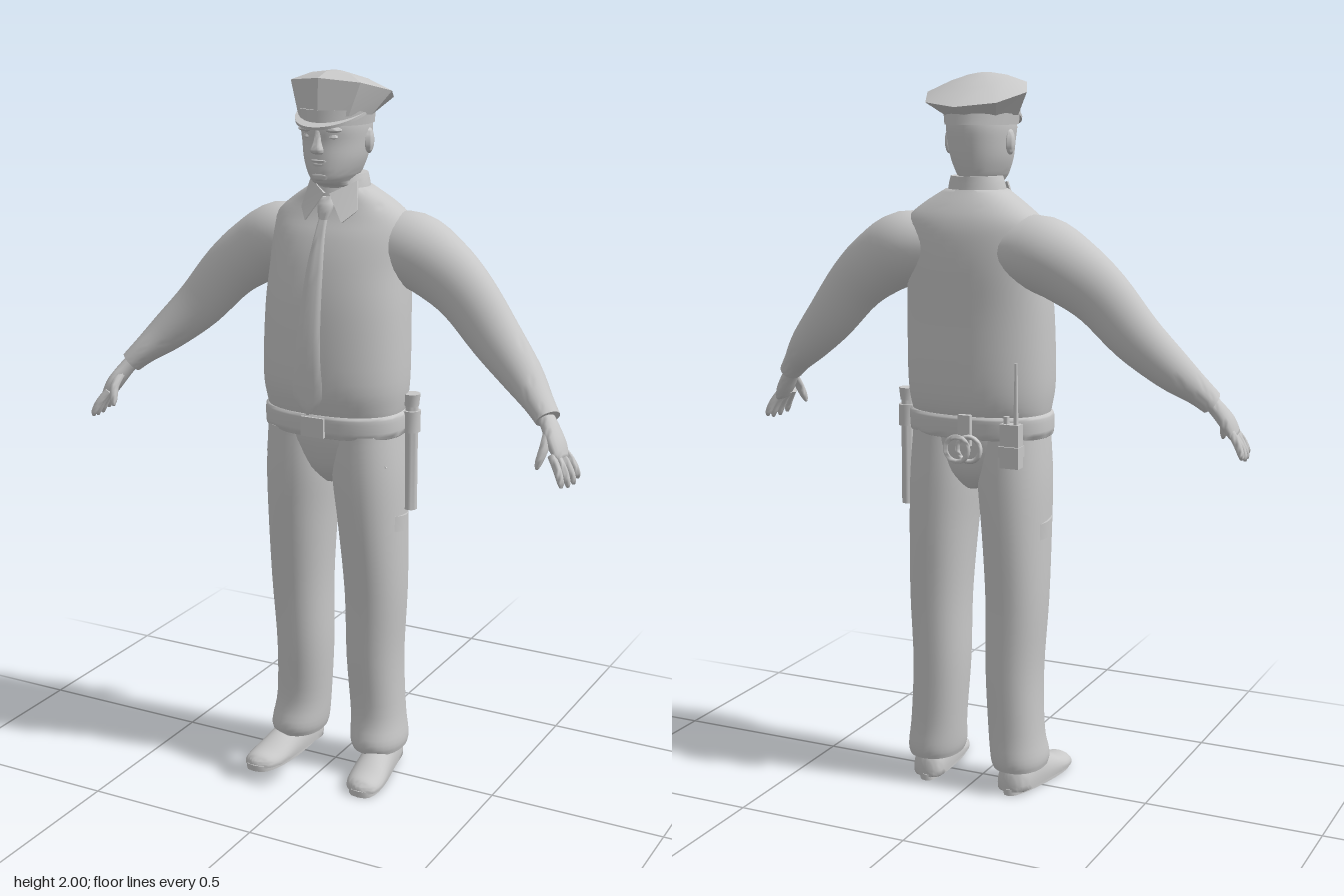
import * as THREE from 'three';
import { toCreasedNormals } from 'three/addons/utils/BufferGeometryUtils.js';

const V = (x, y, z) => new THREE.Vector3(x, y, z);
const UP = V(0, 1, 0), FRONT = V(0, 0, 1);
const grey = new THREE.MeshStandardMaterial({ color: 0xc8c8c8 });
grey.name = 'light grey';

// Catmull-Rom resampling of section rows
function smooth(rows, steps) {
  const out = [], at = i => rows[Math.min(Math.max(i, 0), rows.length - 1)];
  for (let i = 0; i < rows.length - 1; i++) {
    for (let k = 0; k < steps; k++) {
      const t = k / steps;
      out.push(rows[i].map((b, c) => {
        const a = at(i - 1)[c], d = at(i + 1)[c], e = at(i + 2)[c];
        return b + 0.5 * t * (d - a + t * (2 * a - 5 * b + 4 * d - e + t * (3 * (b - d) + e - a)));
      }));
    }
  }
  out.push(rows[rows.length - 1]);
  return out;
}

// Loft of rounded sections [x, y, z, radius across, radius along ref]
function loft(rows, { axis = null, ref = FRONT, n = 28, steps = 4, power = 1 } = {}) {
  const secs = smooth(rows, steps), pos = [], idx = [], last = secs.length - 1;
  const centre = i => V(...secs[Math.min(Math.max(i, 0), last)].slice(0, 3));
  const bend = v => Math.sign(v) * Math.abs(v) ** power;
  secs.forEach((s, i) => {
    const T = axis || centre(i + 1).sub(centre(i - 1)).normalize();
    const U = T.clone().cross(ref).normalize(), W = U.clone().cross(T);
    for (let j = 0; j < n; j++) {
      const a = j / n * Math.PI * 2;
      const p = centre(i).addScaledVector(U, s[3] * bend(Math.cos(a))).addScaledVector(W, s[4] * bend(Math.sin(a)));
      pos.push(p.x, p.y, p.z);
      if (i < last) {
        const b = i * n, k = (j + 1) % n;
        idx.push(b + j, b + n + j, b + k, b + k, b + n + j, b + n + k);
      }
    }
  });
  const c0 = pos.length / 3;
  pos.push(...centre(0).toArray(), ...centre(last).toArray());
  for (let j = 0; j < n; j++) {
    const k = (j + 1) % n;
    idx.push(c0, j, k, c0 + 1, last * n + k, last * n + j);
  }
  const g = new THREE.BufferGeometry();
  g.setAttribute('position', new THREE.Float32BufferAttribute(pos, 3));
  g.setIndex(idx);
  return g;
}

// Apply a rule to every vertex
function warp(g, rule) {
  const p = g.attributes.position;
  for (let i = 0; i < p.count; i++) p.setXYZ(i, ...rule(p.getX(i), p.getY(i), p.getZ(i)));
  return g;
}

export function createModel() {
  const model = new THREE.Group();
  model.name = 'officer';
  const add = (name, g, crease = 0.9) => {
    const m = new THREE.Mesh(toCreasedNormals(g, crease), grey);
    m.name = name;
    model.add(m);
    return m;
  };
  const ball = (name, x, y, z, rx, ry, rz) =>
    add(name, new THREE.SphereGeometry(1, 16, 12).scale(rx, ry, rz).translate(x, y, z), 3);
  const box = (name, w, h, d, x, y, z) => add(name, new THREE.BoxGeometry(w, h, d).translate(x, y, z));
  const rod = (name, r1, r2, h, x, y, z) => add(name, new THREE.CylinderGeometry(r1, r2, h, 14).translate(x, y, z));
  const upright = { axis: UP };

  // Shirt
  add('shirt', loft([
    [0, 1.06, -0.005, 0.19, 0.122], [0, 1.1, -0.008, 0.2, 0.142], [0, 1.18, -0.007, 0.208, 0.155],
    [0, 1.36, -0.015, 0.206, 0.15], [0, 1.48, -0.03, 0.2, 0.141], [0, 1.56, -0.042, 0.202, 0.125],
    [0, 1.61, -0.05, 0.192, 0.106], [0, 1.65, -0.048, 0.148, 0.088], [0, 1.69, -0.037, 0.085, 0.072]],
  { axis: UP, n: 40, power: 0.87 }));
  // Collar band with two pointed flaps
  add('collarBand', loft([
    [0, 1.66, -0.033, 0.085, 0.08], [0, 1.7, -0.036, 0.078, 0.072], [0, 1.725, -0.038, 0.071, 0.068]], upright));
  for (const s of [1, -1]) {
    const flap = new THREE.Shape([[0.008, 0.012], [0.07, 0.045], [0.085, -0.03], [0.055, -0.06]]
      .map(([x, y]) => new THREE.Vector2(x * s, y)));
    add('collarFlap', warp(new THREE.ExtrudeGeometry(flap, { depth: 0.009, bevelEnabled: false }),
      (x, y, z) => [x, y + 1.665, 0.05 + z - 0.5 * y - 5 * x * x]));
  }
  // Tie
  add('tie', loft([
    [-0.005, 1.09, 0.153, 0.003, 0.003], [-0.005, 1.14, 0.154, 0.044, 0.006], [-0.005, 1.25, 0.153, 0.038, 0.007],
    [-0.004, 1.36, 0.14, 0.032, 0.007], [-0.003, 1.48, 0.116, 0.025, 0.007], [-0.002, 1.57, 0.088, 0.016, 0.007],
    [0, 1.615, 0.07, 0.013, 0.008]], { axis: UP, n: 12, steps: 3 }));
  add('tieKnot', loft([[0, 1.61, 0.07, 0.014, 0.01], [0, 1.645, 0.058, 0.024, 0.014],
    [0, 1.668, 0.045, 0.018, 0.012]], { axis: UP, n: 12 }));

  // Head and neck
  add('head', loft([
    [0, 1.63, -0.035, 0.062, 0.062], [0, 1.69, -0.028, 0.062, 0.066], [0, 1.708, 0.002, 0.05, 0.086],
    [0, 1.73, 0.002, 0.064, 0.098], [0, 1.77, -0.003, 0.08, 0.105], [0, 1.815, -0.008, 0.088, 0.108],
    [0, 1.86, -0.008, 0.092, 0.112], [0, 1.91, -0.01, 0.086, 0.1]], upright), 1.2);
  add('nose', loft([[0, 1.787, 0.1, 0.013, 0.01], [0, 1.796, 0.106, 0.018, 0.018],
    [0, 1.82, 0.102, 0.01, 0.014], [0, 1.85, 0.096, 0.008, 0.008]], { axis: UP, n: 12 }), 1.5);
  ball('upperLip', 0, 1.768, 0.096, 0.024, 0.005, 0.01);
  ball('lowerLip', 0, 1.758, 0.094, 0.02, 0.006, 0.01);
  ball('chin', 0, 1.728, 0.085, 0.026, 0.016, 0.017);
  for (const s of [1, -1]) {
    ball('brow', s * 0.036, 1.85, 0.087, 0.028, 0.008, 0.016);
    ball('eye', s * 0.036, 1.832, 0.084, 0.015, 0.007, 0.012);
    ball('ear', s * 0.09, 1.815, -0.02, 0.011, 0.034, 0.02);
  }

  // Peaked cap
  add('capBand', loft([[0, 1.86, -0.008, 0.097, 0.113], [0, 1.9, -0.006, 0.103, 0.108]], upright));
  add('capCrown', warp(loft([
    [0, 1.885, -0.005, 0.106, 0.107], [0, 1.945, -0.04, 0.146, 0.139],
    [0, 1.972, -0.028, 0.08, 0.08], [0, 1.985, -0.015, 0.02, 0.02]], { axis: UP, n: 8, steps: 1 }),
  (x, y, z) => [x, y > 1.9 ? y + 0.27 * (z + 0.04) : y, z]), 0.35);
  const peak = new THREE.Shape();
  peak.absellipse(0, 0, 0.1, 0.138, 0, Math.PI);
  add('capVisor', new THREE.ExtrudeGeometry(peak, { depth: 0.008, bevelEnabled: false, curveSegments: 24 })
    .rotateX(Math.PI / 2 + 0.3).translate(0, 1.9, 0));

  // Trousers seat
  add('trouserSeat', loft([[0, 0.87, -0.02, 0.03, 0.06], [0, 0.92, -0.015, 0.13, 0.1],
    [0, 1, -0.008, 0.192, 0.12], [0, 1.06, -0.005, 0.19, 0.122]], upright), 2);

  for (const s of [1, -1]) {
    // Trouser leg and cargo pocket
    add('trouserLeg', loft([
      [s * 0.132, 0.07, -0.028, 0.073, 0.092], [s * 0.13, 0.1, -0.028, 0.079, 0.098],
      [s * 0.122, 0.18, -0.035, 0.077, 0.086], [s * 0.114, 0.35, -0.03, 0.079, 0.092],
      [s * 0.118, 0.55, -0.024, 0.085, 0.1], [s * 0.112, 0.75, -0.016, 0.092, 0.115],
      [s * 0.104, 0.9, -0.01, 0.099, 0.121], [s * 0.1, 1.03, -0.006, 0.094, 0.118]], { axis: UP, power: 0.92 }));
    add('pocketFlap', warp(new THREE.BoxGeometry(0.016, 0.045, 0.15, 1, 1, 10),
      (x, y, z) => [s * 0.203 + x - s * 7 * z * z, 0.765 + y + 0.12 * z, z - 0.015]));
    add('pocketSeam', new THREE.TubeGeometry(new THREE.LineCurve3(
      V(s * 0.13, 1.02, 0.098), V(s * 0.185, 0.94, 0.058)), 1, 0.004, 6));

    // Shoe: sole, heel and upper
    const sx = (z, o) => s * (0.145 + 0.13 * z) + o;
    const sole = new THREE.Shape();
    sole.setFromPoints(Array.from({ length: 28 }, (_, i) => {
      const a = i / 28 * Math.PI * 2, z = 0.037 + 0.152 * Math.sin(a);
      const w = 0.046 + 0.012 * Math.sin(a);
      return new THREE.Vector2(sx(z, w * Math.sign(Math.cos(a)) * Math.abs(Math.cos(a)) ** 0.65), -z);
    }));
    add('shoeSole', new THREE.ExtrudeGeometry(sole, { depth: 0.018, bevelEnabled: false })
      .rotateX(-Math.PI / 2).translate(0, 0.001, 0));
    add('shoeUpper', warp(loft([
      [sx(-0.112, 0), 0.03, -0.112, 0.022, 0.03], [sx(-0.09, 0), 0.03, -0.09, 0.044, 0.07],
      [sx(-0.02, 0), 0.03, -0.02, 0.048, 0.078], [sx(0.05, 0), 0.025, 0.05, 0.052, 0.058],
      [sx(0.12, 0), 0.018, 0.12, 0.055, 0.036], [sx(0.165, 0), 0.016, 0.165, 0.044, 0.028],
      [sx(0.185, 0), 0.015, 0.185, 0.018, 0.014]], { axis: FRONT, ref: UP }),
    (x, y, z) => [x, Math.max(y, 0.012), z]), 1.1);

    // Sleeve and cuff
    add('sleeve', loft([
      [s * 0.1, 1.53, -0.06, 0.085, 0.09], [s * 0.2, 1.525, -0.064, 0.102, 0.1],
      [s * 0.29, 1.478, -0.06, 0.094, 0.084], [s * 0.37, 1.415, -0.05, 0.083, 0.07],
      [s * 0.46, 1.315, -0.035, 0.072, 0.062], [s * 0.55, 1.23, -0.005, 0.056, 0.055],
      [s * 0.61, 1.175, 0.03, 0.039, 0.045], [s * 0.645, 1.14, 0.05, 0.032, 0.04]]));
    // Hand with four fingers and a thumb
    add('palm', loft([
      [s * 0.63, 1.155, 0.045, 0.02, 0.026], [s * 0.655, 1.125, 0.06, 0.021, 0.031],
      [s * 0.682, 1.085, 0.078, 0.02, 0.041], [s * 0.7, 1.052, 0.086, 0.013, 0.039]], { n: 16 }), 1.5);
    for (let f = 0; f < 4; f++) {
      const long = [0.9, 1, 1, 0.93][f];
      const end = (t, drop) => [s * (0.696 + 0.04 * t * long - 0.004 * f), 1.064 - drop * long,
        0.06 + 0.019 * f + t * (f - 1) * 0.012];
      add('finger', loft([[...end(0, 0), 0.011, 0.011], [...end(0.6, 0.035), 0.011, 0.011],
        [...end(0.95, 0.066), 0.009, 0.009], [...end(1, 0.08), 0.004, 0.004]], { n: 10, steps: 3 }), 1.5);
    }
    add('thumb', loft([[s * 0.66, 1.115, 0.08, 0.014, 0.014], [s * 0.662, 1.08, 0.115, 0.013, 0.013],
      [s * 0.655, 1.045, 0.132, 0.01, 0.01], [s * 0.652, 1.028, 0.138, 0.004, 0.004]], { n: 10, steps: 3 }), 1.5);
  }

  // Duty belt and buckle
  add('belt', loft([[0, 1.02, -0.007, 0.201, 0.131], [0, 1.03, -0.007, 0.206, 0.137],
    [0, 1.075, -0.008, 0.206, 0.142], [0, 1.085, -0.008, 0.2, 0.138]], { axis: UP, n: 40, power: 0.87 }));
  box('beltBuckle', 0.07, 0.055, 0.012, 0, 1.052, 0.134);

  // Baton in its holder on the left hip
  rod('baton', 0.018, 0.018, 0.3, 0.215, 0.95, -0.04);
  rod('batonHolder', 0.026, 0.026, 0.06, 0.214, 1.055, -0.04);
  rod('batonCap', 0.024, 0.02, 0.035, 0.215, 1.115, -0.04);

  // Handcuffs at the back
  box('cuffStrap', 0.035, 0.085, 0.016, -0.02, 1.05, -0.158);
  for (const [x, z] of [[-0.035, -0.165], [-0.005, -0.178]]) {
    add('handcuff', new THREE.TorusGeometry(0.034, 0.007, 8, 24).translate(x, 1.0, z), 3);
  }

  // Radio with antenna
  box('radioBody', 0.055, 0.12, 0.032, -0.15, 1.015, -0.142);
  box('radioClip', 0.06, 0.03, 0.042, -0.15, 1.0, -0.143);
  rod('radioKnob', 0.008, 0.008, 0.02, -0.136, 1.085, -0.142);
  rod('radioAntenna', 0.004, 0.007, 0.17, -0.165, 1.155, -0.145);

  return model;
}
